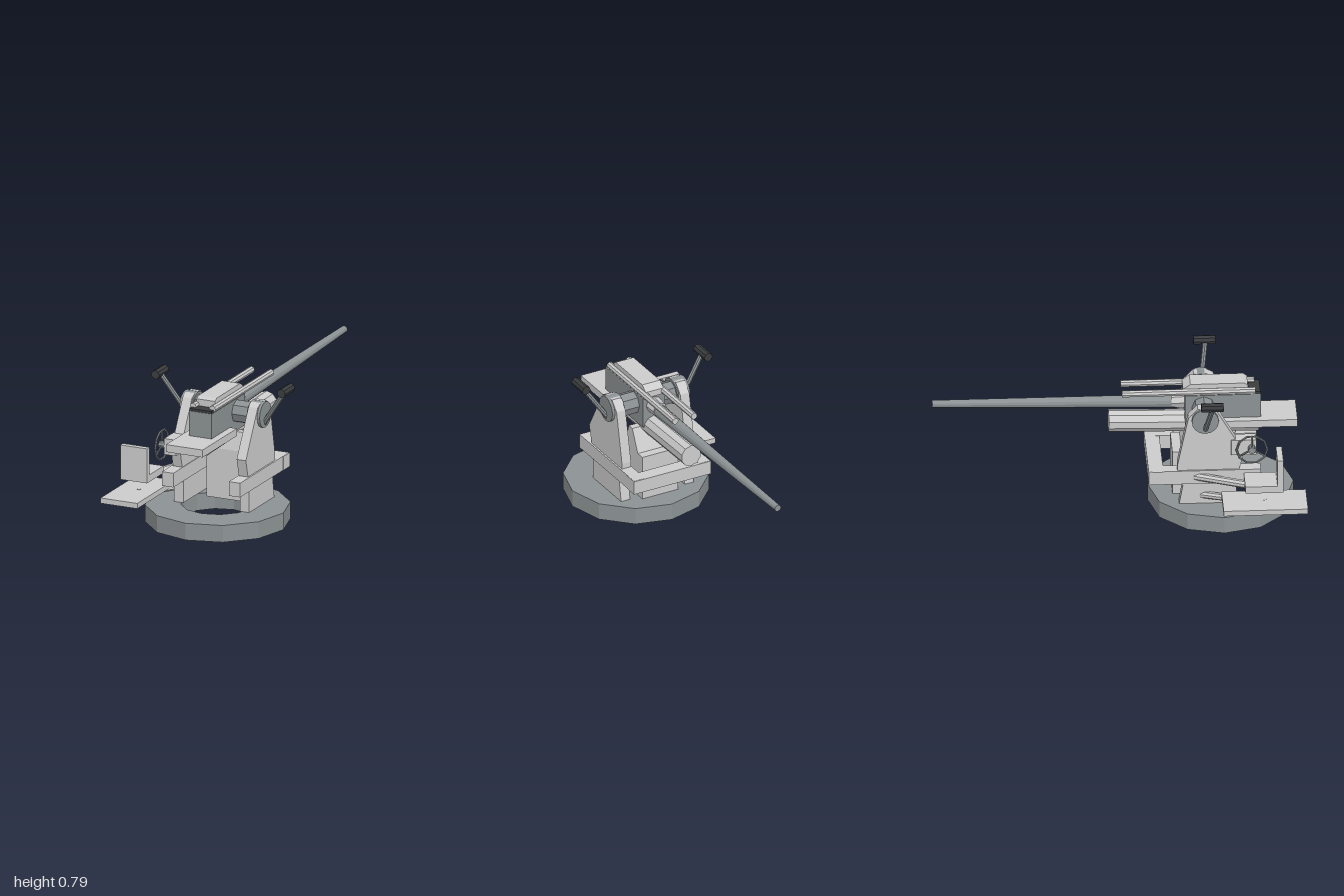
import * as THREE from 'three';

const material = (color) => new THREE.MeshStandardMaterial({ color, flatShading: true });

export function createModel() {
  const root = new THREE.Group();
  root.name = 'deckGun';
  root.position.x = 0.04; // the gun axis is offset, since the seat hangs out on one side
  const light = material(0xcccccc), steel = material(0x8c9294), dark = material(0x3a3c3e);

  const add = (name, geometry, mat = light) => {
    const mesh = new THREE.Mesh(geometry, mat);
    mesh.name = name;
    root.add(mesh);
    return mesh;
  };
  // Box from its limits on each axis
  const box = (name, x0, x1, y0, y1, z0, z1, mat) =>
    add(name, new THREE.BoxGeometry(x1 - x0, y1 - y0, z1 - z0)
      .translate((x0 + x1) / 2, (y0 + y1) / 2, (z0 + z1) / 2), mat);
  // Round bar between two points, r0 at the start and r1 at the end
  const rod = (name, from, to, r0, r1 = r0, sides = 8, mat = light) => {
    const a = new THREE.Vector3(...from), b = new THREE.Vector3(...to);
    const mesh = add(name, new THREE.CylinderGeometry(r1, r0, a.distanceTo(b), sides), mat);
    mesh.position.copy(a).add(b).multiplyScalar(0.5);
    mesh.quaternion.setFromUnitVectors(new THREE.Vector3(0, 1, 0), b.sub(a).normalize());
    return mesh;
  };
  // Side profile of [z, y] points, given a width along x
  const profile = (name, points, x, width, mat) => {
    const shape = new THREE.Shape(points.map(([z, y]) => new THREE.Vector2(z, y)));
    const geometry = new THREE.ExtrudeGeometry(shape, { depth: width, bevelEnabled: false });
    geometry.translate(0, 0, -width / 2).rotateY(-Math.PI / 2).translate(x, 0, 0);
    return add(name, geometry, mat);
  };

  // Base ring
  const ring = new THREE.Shape(), hole = new THREE.Path();
  for (let i = 0; i < 12; i++) {
    const a = (i / 12) * Math.PI * 2, step = i ? 'lineTo' : 'moveTo';
    ring[step](0.393 * Math.cos(a), 0.393 * Math.sin(a));
    hole[step](0.2 * Math.cos(a), 0.2 * Math.sin(a));
  }
  ring.holes.push(hole);
  add('baseRing', new THREE.ExtrudeGeometry(ring, { depth: 0.095, bevelEnabled: false })
    .rotateX(-Math.PI / 2).translate(0, 0, 0.555), steel);

  // Central pedestal
  profile('pedestal', [[0.29, 0.095], [0.47, 0.095], [0.47, 0.375], [0.44, 0.475],
    [0.4, 0.475], [0.34, 0.35], [0.29, 0.35]], 0, 0.22);

  // Parts mirrored on both sides
  for (const s of [-1, 1]) {
    profile('cheek', [[0.32, 0.095], [0.63, 0.095], [0.63, 0.25], [0.67, 0.4], [0.525, 0.655],
      [0.49, 0.672], [0.42, 0.672], [0.37, 0.62], [0.355, 0.55], [0.31, 0.33], [0.31, 0.22],
      [0.34, 0.21]], s * 0.197, 0.055);
    box('frameBar', s * 0.2 - 0.034, s * 0.2 + 0.034, 0.22, 0.3, 0.16, 0.76);
    rod('trunnionCap', [s * 0.162, 0.603, 0.46], [s * 0.24, 0.603, 0.46], 0.073, 0.073, 16, steel);
    rod('handleArm', [s * 0.225, 0.545, 0.46], [s * 0.375, 0.765, 0.495], 0.014, 0.014, 8, steel);
    rod('handleGrip', [s * 0.377, 0.766, 0.43], [s * 0.377, 0.766, 0.55], 0.025, 0.025, 8, dark);
    rod('recoilRod', [s * 0.058, 0.688, 0.74], [s * 0.058, 0.688, 0.02], 0.019, 0.019, 8);
  }
  box('frontCrossBar', -0.237, 0.237, 0.221, 0.299, 0.155, 0.235);
  rod('trunnionTube', [-0.165, 0.6, 0.46], [0.165, 0.6, 0.46], 0.063, 0.063, 8, steel);

  // Gun body
  box('breech', -0.068, 0.068, 0.49, 0.67, 0.36, 0.77, steel);
  box('breechPad', -0.066, 0.066, 0.665, 0.684, 0.705, 0.767, dark);
  profile('topCover', [[0.7, 0.67], [0.7, 0.72], [0.68, 0.733], [0.39, 0.733], [0.35, 0.705],
    [0.35, 0.67]], 0, 0.11);
  box('loadingTray', -0.11, 0.11, 0.488, 0.53, 0.545, 0.965);
  rod('recuperator', [0, 0.477, 0.76], [0, 0.495, -0.05], 0.061, 0.061, 10);
  rod('barrelCollar', [0, 0.615, 0.38], [0, 0.613, 0.29], 0.048, 0.042, 8);
  rod('barrel', [0, 0.604, 0.36], [0, 0.629, -1], 0.038, 0.019, 12, steel);

  // Elevation handwheel and its gearbox
  box('gearbox', -0.234, -0.162, 0.39, 0.48, 0.6, 0.735);
  rod('wheelShaft', [-0.22, 0.435, 0.71], [-0.272, 0.435, 0.71], 0.02, 0.02, 8, steel);
  add('handwheel', new THREE.TorusGeometry(0.083, 0.006, 6, 10)
    .rotateY(Math.PI / 2).translate(-0.258, 0.435, 0.71), steel);
  for (let i = 0; i < 3; i++) {
    const a = (i / 3) * Math.PI * 2;
    rod('wheelSpoke', [-0.258, 0.435, 0.71],
      [-0.258, 0.435 + 0.083 * Math.cos(a), 0.71 + 0.083 * Math.sin(a)], 0.005, 0.005, 5, steel);
  }

  // Gunner's seat, footboard and their support arms
  box('seat', -0.43, -0.27, 0.26, 0.3, 0.665, 0.87);
  box('seatBack', -0.43, -0.27, 0.3, 0.455, 0.838, 0.87);
  box('footboard', -0.485, -0.265, 0.155, 0.185, 0.545, 1.0);
  rod('seatArm', [-0.2, 0.26, 0.36], [-0.35, 0.255, 0.75], 0.022, 0.022, 8);
  rod('footboardArm', [-0.2, 0.14, 0.42], [-0.37, 0.168, 0.78], 0.02, 0.02, 8);

  const model = new THREE.Group();
  model.name = 'model';
  model.add(root);
  return model;
}
